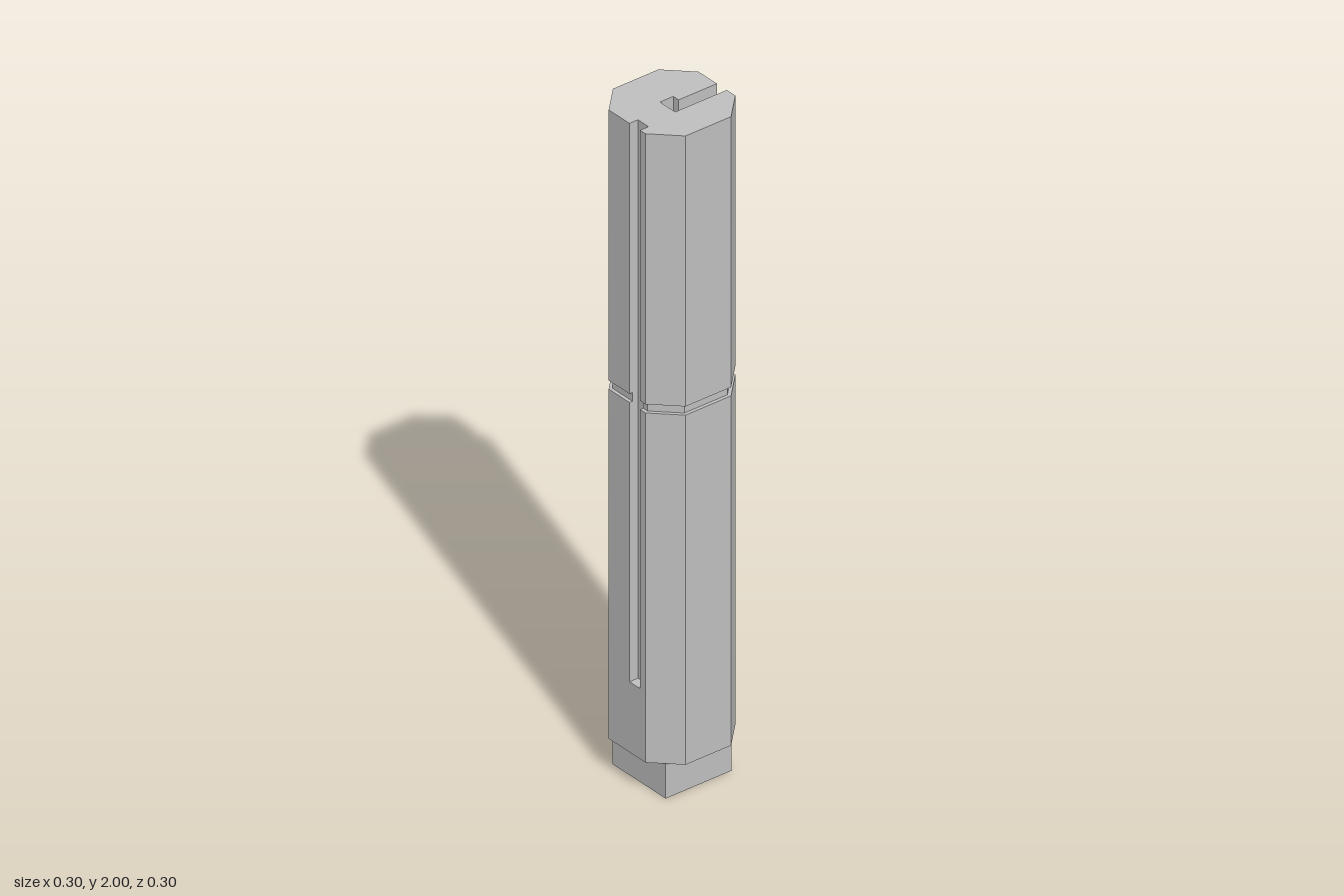
import * as THREE from 'three';

const HALF = 0.148;      // octagon half width
const CORNER = 0.075;    // half length of the straight sides
const TENON = 0.108;     // half width of the square foot
const BORE = 0.022;      // half width of the square bore

export function createModel() {
  const group = new THREE.Group();
  const grey = new THREE.MeshStandardMaterial({ color: 0xc0c0c0 });
  grey.name = 'plain grey';

  // Extrudes an outline given in (x, z) from y0 up to y1
  function prism(name, outline, y0, y1, hole) {
    const toShape = ([x, z]) => new THREE.Vector2(x, -z);
    const shape = new THREE.Shape(outline.map(toShape));
    if (hole) shape.holes.push(new THREE.Path(hole.map(toShape)));
    const geometry = new THREE.ExtrudeGeometry(shape, { depth: y1 - y0, bevelEnabled: false });
    geometry.rotateX(-Math.PI / 2);
    const mesh = new THREE.Mesh(geometry, grey);
    mesh.name = name;
    mesh.position.y = y0;
    group.add(mesh);
  }

  const square = (h) => [[-h, -h], [h, -h], [h, h], [-h, h]];

  // Octagon with the back slot running into the bore, and an optional front groove
  function section(inset, grooved) {
    const h = HALF - inset;
    const c = CORNER - inset * Math.tan(Math.PI / 8);
    const groove = grooved ? [[0.053, h], [0.053, 0.12], [0.01, 0.12], [0.01, h]] : [];
    return [
      [0.04, -h], [c, -h], [h, -c], [h, c], [c, h],
      ...groove,
      [-c, h], [-h, c], [-h, -c], [-c, -h], [0, -h],
      [0, -BORE], [-BORE, -BORE], [-BORE, BORE], [0.04, BORE],
    ];
  }

  // Square foot with the bore through it
  prism('foot', square(TENON), 0, 0.108, square(BORE));

  // Octagonal shaft, with a narrow neck between its two halves
  prism('shaftBase', section(0, false), 0.108, 0.32);
  prism('lowerShaft', section(0, true), 0.32, 1.16);
  prism('neck', section(0.01, true), 1.16, 1.186);
  prism('upperShaft', section(0, true), 1.186, 2);

  return group;
}
